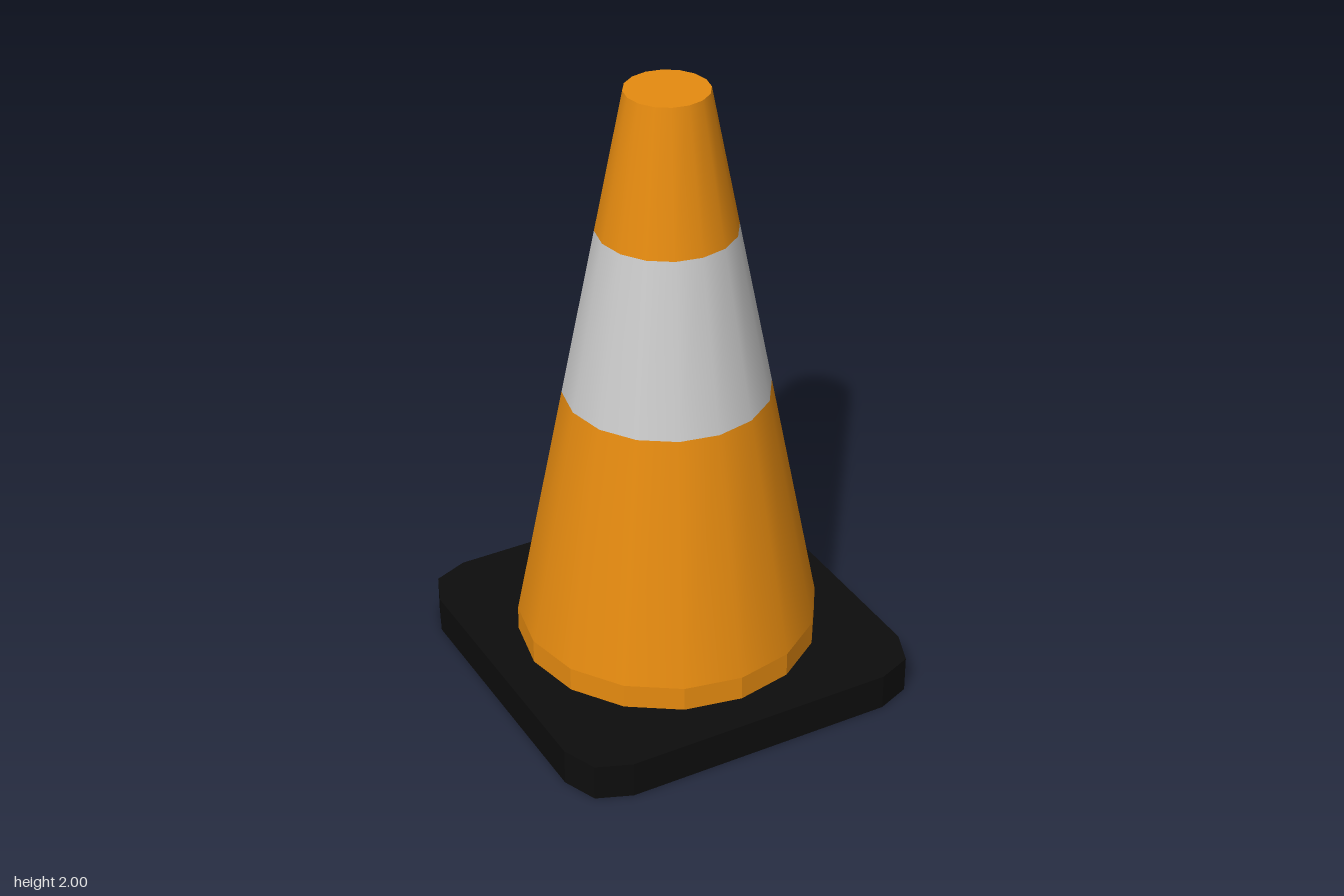
import * as THREE from 'three';

const SIDES = 16;
const orange = new THREE.MeshStandardMaterial({ color: 0xe68b10 });
const orangeFlat = new THREE.MeshStandardMaterial({ color: 0xe68b10, flatShading: true });
const white = new THREE.MeshStandardMaterial({ color: 0xcccccc });
const black = new THREE.MeshStandardMaterial({ color: 0x0d0d0d, flatShading: true });

// The cone tapers evenly from 0.48 at y = 0.2 to 0.13 at y = 2
const radiusAt = (y) => 0.48 - (0.35 * (y - 0.2)) / 1.8;

function addMesh(group, name, geometry, material, y = 0) {
  const mesh = new THREE.Mesh(geometry, material);
  mesh.name = name;
  mesh.position.y = y;
  group.add(mesh);
}

function addBand(group, name, y0, y1, material) {
  const geometry = new THREE.CylinderGeometry(radiusAt(y1), radiusAt(y0), y1 - y0, SIDES, 1, true);
  addMesh(group, name, geometry, material, (y0 + y1) / 2);
}

// Square slab with two-step corners and a hole that the cone's foot fills
function baseGeometry() {
  const corner = [[0.6, 0.445], [0.556, 0.556], [0.445, 0.6]];
  const points = [];
  for (let i = 0; i < 4; i++) {
    for (const [x, y] of corner) {
      points.push(new THREE.Vector2(x, y).rotateAround(new THREE.Vector2(), (i * Math.PI) / 2));
    }
  }
  const shape = new THREE.Shape(points);
  const hole = [];
  for (let i = 0; i < SIDES; i++) {
    const a = (i / SIDES) * Math.PI * 2;
    hole.push(new THREE.Vector2(0.48 * Math.cos(a), 0.48 * Math.sin(a)));
  }
  shape.holes.push(new THREE.Path(hole));
  const geometry = new THREE.ExtrudeGeometry(shape, { depth: 0.12, bevelEnabled: false });
  return geometry.rotateX(-Math.PI / 2);
}

export function createModel() {
  const cone = new THREE.Group();
  cone.name = 'trafficCone';

  addMesh(cone, 'base', baseGeometry(), black);

  // Faceted foot, with its underside flush with the base
  addMesh(cone, 'foot', new THREE.CylinderGeometry(0.48, 0.48, 0.2, SIDES), orangeFlat, 0.1);

  // Smooth tapered body in three bands
  addBand(cone, 'lowerBody', 0.2, 1.0, orange);
  addBand(cone, 'reflectiveBand', 1.0, 1.55, white);
  addBand(cone, 'upperBody', 1.55, 2.0, orange);

  // Closed tip
  const cap = new THREE.CircleGeometry(radiusAt(2), SIDES).rotateX(-Math.PI / 2);
  addMesh(cone, 'topCap', cap, orange, 2);

  return cone;
}
